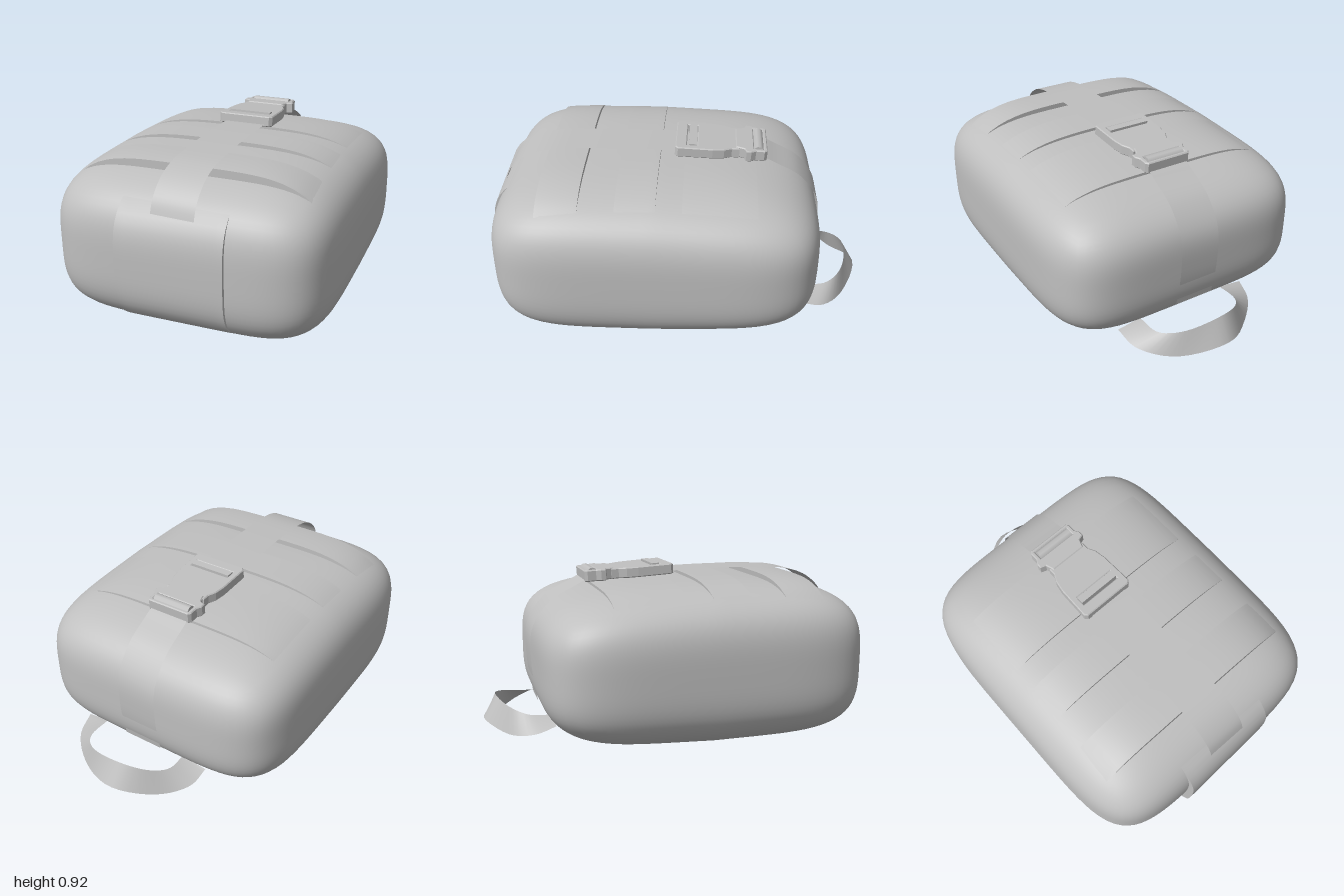
import * as THREE from 'three';
import { mergeVertices, toCreasedNormals } from 'three/addons/utils/BufferGeometryUtils.js';

const fabric = new THREE.MeshStandardMaterial({ color: 0xbfbfbf, side: THREE.DoubleSide });
fabric.name = 'grey fabric';

// Pouch dimensions: half sizes, centre and roundness
const A = 0.725, B = 0.418, C = 0.853, CY = 0.42, CZ = 0.112, M = 5.5, K = 3.7;
const backScale = (z) => 1 + 0.1 * Math.min(0, (z - CZ) / C);
const pw = (v, e) => Math.pow(Math.max(0, v), e);

// Height of the pouch top, and depth of its front, at a point
const topY = (x, z) =>
  CY + B * backScale(z) * pw(1 - pw(pw(Math.abs(x / A), M) + pw(Math.abs((z - CZ) / C), M), K / M), 1 / K);
const frontZ = (x, y) =>
  CZ + C * pw(pw(1 - pw(Math.abs((y - CY) / B), K), M / K) - pw(Math.abs(x / A), M), 1 / M);

function add(group, name, geometry) {
  const mesh = new THREE.Mesh(geometry, fabric);
  mesh.name = name;
  group.add(mesh);
  return mesh;
}

// Grid surface from a list of rows of points
function gridGeometry(rows, crease = 0.6) {
  const n = rows[0].length, pos = rows.flat(2), idx = [];
  for (let i = 0; i < rows.length - 1; i++) {
    for (let j = 0; j < n - 1; j++) {
      const a = i * n + j, b = a + n;
      idx.push(a, b, a + 1, b, b + 1, a + 1);
    }
  }
  const g = new THREE.BufferGeometry();
  g.setAttribute('position', new THREE.Float32BufferAttribute(pos, 3));
  g.setIndex(idx);
  return toCreasedNormals(g, crease);
}

// Cloth strip between two edge curves
function ribbon(edgeA, edgeB, steps) {
  const curve = (pts) => new THREE.CatmullRomCurve3(pts.map((p) => new THREE.Vector3(...p)));
  const a = curve(edgeA), b = curve(edgeB), rows = [];
  for (let i = 0; i <= steps; i++) {
    rows.push([a.getPoint(i / steps).toArray(), b.getPoint(i / steps).toArray()]);
  }
  return gridGeometry(rows, 1.2);
}

// Soft rounded box with a lower back end
function bodyGeometry() {
  let g = new THREE.BoxGeometry(2, 2, 2, 28, 24, 28);
  g.deleteAttribute('uv');
  g.deleteAttribute('normal');
  g = mergeVertices(g);
  const p = g.attributes.position;
  for (let i = 0; i < p.count; i++) {
    const x = p.getX(i), y = p.getY(i), z = p.getZ(i);
    const flat = pw(Math.abs(x), M) + pw(Math.abs(z), M);
    const r = pw(pw(flat, K / M) + pw(Math.abs(y), K), 1 / K);
    const wz = CZ + (z / r) * C;
    p.setXYZ(i, (x / r) * A, CY + (y / r) * B * backScale(wz), wz);
  }
  g.computeVertexNormals();
  return g;
}

// Raised sewn band across the top, fading out at both ends
function bandGeometry(z0, z1, h0, h1) {
  const rows = [], n = 10;
  for (let i = -1; i <= n + 1; i++) {
    const t = Math.min(1, Math.max(0, i / n)), z = z0 + (z1 - z0) * t;
    const wall = i < 0 || i > n;
    const row = [];
    for (let j = 0; j <= 24; j++) {
      const s = j / 12 - 1, x = s * 0.61;
      const h = wall ? -0.015 : (h0 + (h1 - h0) * t) * (1 - s ** 4) - 0.004 * s * s;
      row.push([x, topY(x, z) + h, z]);
    }
    rows.push(row);
  }
  return gridGeometry(rows);
}

// Raised panel on the front, thicker on its right side
function frontPanelGeometry() {
  const rows = [], n = 12;
  for (let i = 0; i <= 20; i++) {
    const s = i / 10 - 1, y = 0.41 + s * 0.33, row = [];
    for (let j = -1; j <= n + 1; j++) {
      const x = -0.265 + 0.54 * Math.min(1, Math.max(0, j / n));
      const h = j < 0 || j > n ? -0.015 : (0.028 - 0.035 * x) * (1 - s ** 4) - 0.003 * s * s;
      row.push([x, y, frontZ(x, y) + h]);
    }
    rows.push(row);
  }
  return gridGeometry(rows);
}

// Flat plate from an outline of [x, -z] points, with rectangular slots
function plate(points, slots, depth) {
  const shape = new THREE.Shape(points.map((p) => new THREE.Vector2(...p)));
  for (const [x0, x1, y0, y1] of slots) {
    shape.holes.push(new THREE.Path([[x0, y0], [x0, y1], [x1, y1], [x1, y0]].map((p) => new THREE.Vector2(...p))));
  }
  const g = new THREE.ExtrudeGeometry(shape, {
    depth: depth - 0.01, bevelEnabled: true, bevelThickness: 0.005, bevelSize: 0.005, bevelOffset: -0.005, bevelSegments: 1,
  });
  g.rotateX(-Math.PI / 2);
  return g;
}

const mirrored = (half) => [...half, ...half.map(([x, y]) => [-x, y]).reverse()];

function createBuckle() {
  const buckle = new THREE.Group();
  buckle.name = 'buckle';
  // Socket with a strap slot and bar
  add(buckle, 'buckleSocket', plate(
    mirrored([[0.135, -0.025], [0.15, -0.01], [0.145, 0.17], [0.135, 0.23], [0.115, 0.27], [0.115, 0.31]]),
    [[-0.112, 0.112, 0.035, 0.09]], 0.055));
  const bar = add(buckle, 'socketBar', new THREE.BoxGeometry(0.23, 0.04, 0.04));
  bar.position.set(0, 0.037, -0.065);
  // Clip with its own strap slot
  add(buckle, 'buckleClip', plate(
    mirrored([[0.1, 0.29], [0.115, 0.335], [0.145, 0.345], [0.145, 0.37], [0.13, 0.395], [0.13, 0.44], [0.118, 0.455]]),
    [[-0.108, 0.108, 0.385, 0.435]], 0.06));
  const clipBar = add(buckle, 'clipStrapLoop', new THREE.CylinderGeometry(0.03, 0.03, 0.21, 10));
  clipBar.rotation.z = Math.PI / 2;
  clipBar.position.set(0, 0.035, -0.41);
  buckle.position.set(0.01, 0.864, 0);
  buckle.rotation.x = -0.065;
  return buckle;
}

export function createModel() {
  const model = new THREE.Group();
  model.name = 'pouch';

  add(model, 'body', bodyGeometry());
  add(model, 'frontPanel', frontPanelGeometry());

  // Sewn bands: back edge, front edge, heights at both
  [[-0.4, -0.03, 0.014, 0.014], [0.1, 0.3, 0.016, 0.02], [0.48, 0.69, 0.026, 0.042]]
    .forEach((b) => add(model, 'topBand', bandGeometry(...b)));

  // Closing strap over the top and down the back, as [y, z]
  const path = [[0.65, 0.945], [0.75, 0.9], [0.825, 0.81], [0.863, 0.69], [0.876, 0.5], [0.878, 0.3], [0.873, 0.05],
    [0.86, -0.2], [0.858, -0.4], [0.81, -0.51], [0.735, -0.64], [0.6, -0.736], [0.4, -0.747], [0.2, -0.718]];
  const edge = (x) => path.map(([y, z]) => [x, y, z]);
  add(model, 'strap', ribbon(edge(-0.1), edge(0.12), 70));

  model.add(createBuckle());

  // Twisted carry loop low on the back
  add(model, 'carryLoop', ribbon(
    [[-0.34, 0.13, -0.66], [-0.32, 0.09, -0.76], [-0.2, 0.06, -0.88], [0, 0.1, -1], [0.25, 0.06, -0.91], [0.4, 0.09, -0.78], [0.43, 0.13, -0.66]],
    [[-0.2, 0.15, -0.66], [-0.2, 0.16, -0.78], [-0.14, 0.19, -0.87], [0, 0.22, -0.93], [0.2, 0.19, -0.9], [0.29, 0.16, -0.81], [0.3, 0.15, -0.66]],
    32));

  return model;
}
